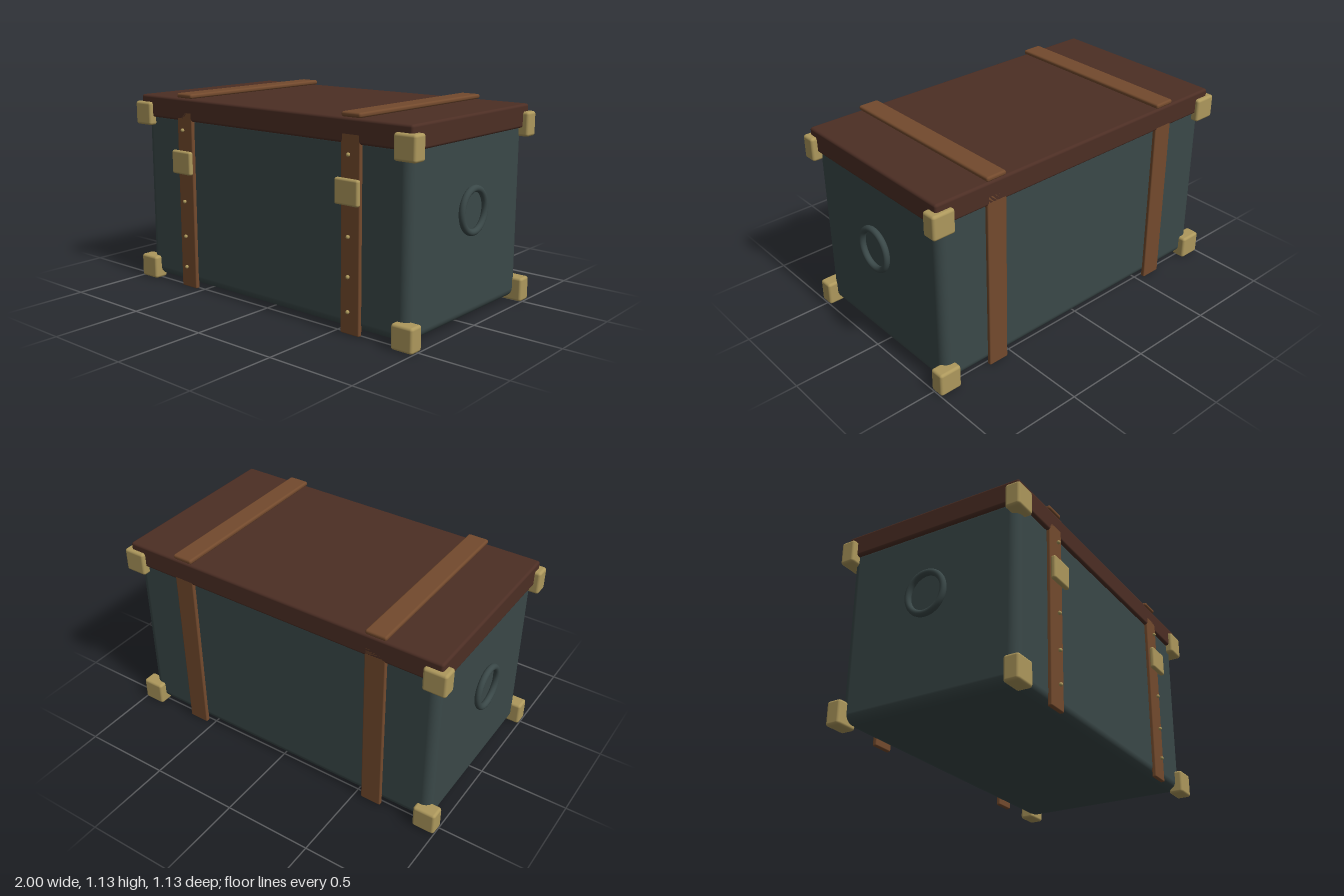
import * as THREE from 'three';
import { RoundedBoxGeometry } from 'three/addons/geometries/RoundedBoxGeometry.js';

const material = (name, color) => new THREE.MeshStandardMaterial({ name, color });

export function createModel() {
  const chest = new THREE.Group();
  chest.name = 'chest';

  const shell = material('dark slate', 0x3a4848);
  const lidWood = material('dark brown', 0x4c2e24);
  const leather = material('tan leather', 0x734a2d);
  const brass = material('brass', 0xad985c);

  const midZ = -0.005;

  // Adds a mesh at a position measured from the chest's middle
  function add(name, geometry, mat, x, y, z) {
    const mesh = new THREE.Mesh(geometry, mat);
    mesh.name = name;
    mesh.position.set(x, y, midZ + z);
    chest.add(mesh);
    return mesh;
  }
  const box = (w, h, d, r, segments = 3) => new RoundedBoxGeometry(w, h, d, segments, r);

  // Body and lid
  add('body', box(1.89, 0.995, 1.03, 0.05, 5), shell, 0, 0.5225, 0);
  add('lid', box(1.934, 0.126, 1.07, 0.014), lidWood, 0, 1.04, 0);

  // Corner guards, four low and four high
  const guard = box(0.13, 0.134, 0.085, 0.015);
  for (const x of [-0.935, 0.935])
    for (const y of [0.071, 0.996])
      for (const z of [-0.515, 0.515]) add('cornerGuard', guard, brass, x, y, z);

  // Straps with buckles and rivets
  const uprightStrap = box(0.12, 1.025, 0.026, 0.007);
  const topStrap = box(0.12, 0.026, 1.07, 0.011);
  const buckle = box(0.15, 0.134, 0.03, 0.012);
  const rivet = new THREE.SphereGeometry(0.0105, 16, 12);
  for (const x of [-0.6, 0.6]) {
    add('frontStrap', uprightStrap, leather, x, 0.518, 0.522);
    add('backStrap', uprightStrap, leather, x, 0.518, -0.522);
    add('topStrap', topStrap, leather, x, 1.118, 0);
    add('buckle', buckle, brass, x, 0.744, 0.557);
    for (const y of [0.13, 0.312, 0.517, 0.722, 0.927]) add('rivet', rivet, brass, x, y, 0.551);
  }

  // Ring handles on both ends, slightly taller than wide
  const ring = new THREE.TorusGeometry(0.114, 0.018, 16, 48);
  ring.scale(0.94, 1, 1).rotateY(Math.PI / 2);
  for (const x of [-0.972, 0.972]) add('ringHandle', ring, shell, x, 0.609, 0);

  return chest;
}
